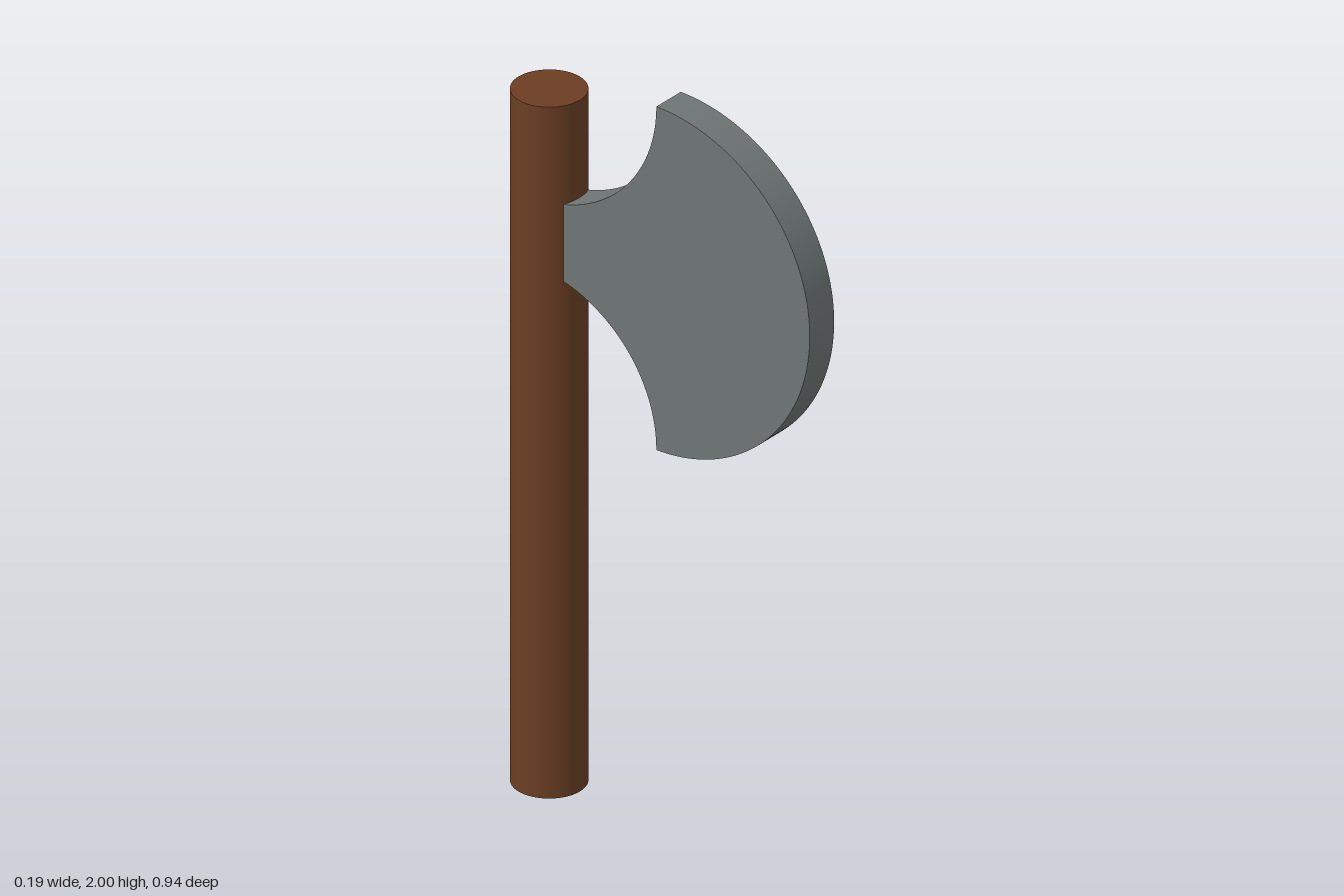
import * as THREE from 'three';
import { toCreasedNormals } from 'three/addons/utils/BufferGeometryUtils.js';

const wood = new THREE.MeshStandardMaterial({ color: 0x6b3e23 });
wood.name = 'brown wood';
const steel = new THREE.MeshStandardMaterial({ color: 0x6e7675 });
steel.name = 'grey steel';

const HANDLE_Z = -0.373, HANDLE_R = 0.095, HANDLE_H = 1.905;
const BLADE_Z = -0.005, BLADE_Y = 1.527, BLADE_R = 0.473, BLADE_T = 0.095;
const NOTCH_R = 0.378; // radius of the concave cuts beside the neck

function createHandle() {
  const geometry = new THREE.CylinderGeometry(HANDLE_R, HANDLE_R, HANDLE_H, 64);
  const handle = new THREE.Mesh(geometry, wood);
  handle.name = 'handle';
  handle.position.set(0, HANDLE_H / 2, HANDLE_Z);
  return handle;
}

function createBlade() {
  // Side profile, drawn with the cutting edge towards +x and the neck towards -x
  const profile = new THREE.Shape();
  const neckAngle = Math.acos((HANDLE_Z - BLADE_Z + NOTCH_R) / NOTCH_R);
  profile.absarc(0, 0, BLADE_R, -Math.PI / 2, Math.PI / 2, false);
  profile.absarc(-NOTCH_R, BLADE_R, NOTCH_R, 0, -neckAngle, true);
  profile.absarc(-NOTCH_R, -BLADE_R, NOTCH_R, neckAngle, 0, true);

  const extruded = new THREE.ExtrudeGeometry(profile, {
    depth: BLADE_T, bevelEnabled: false, curveSegments: 48,
  });
  extruded.translate(0, 0, -BLADE_T / 2);
  extruded.rotateY(-Math.PI / 2); // profile x becomes forward
  const blade = new THREE.Mesh(toCreasedNormals(extruded, 0.5), steel);
  blade.name = 'axeBlade';
  blade.position.set(0, BLADE_Y, BLADE_Z);
  return blade;
}

export function createModel() {
  const axe = new THREE.Group();
  axe.name = 'axe';
  axe.add(createHandle(), createBlade());
  return axe;
}
